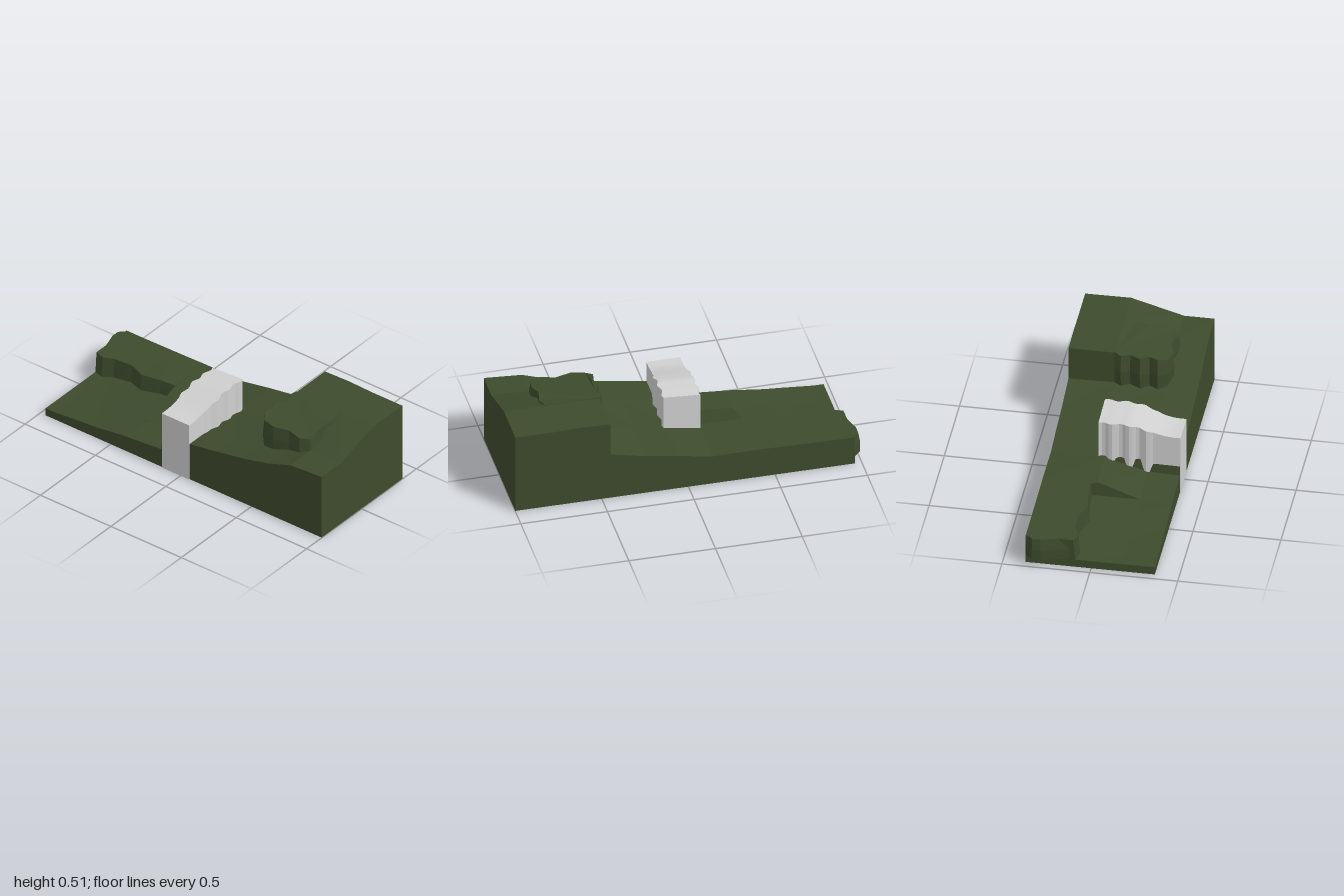
import * as THREE from 'three';

const grass = new THREE.MeshStandardMaterial({ color: 0x3e4b2d });
grass.name = 'dark moss green';
const water = new THREE.MeshStandardMaterial({ color: 0xd0d0d0 });
water.name = 'pale grey';

// Closed faceted block under a grid of top points: rows run along +x, columns along +z
function heightBlock(grid, base) {
  const pos = [];
  const quad = (a, b, c, d) => [a, b, c, a, c, d].forEach((p) => pos.push(...p));
  const low = (p) => [p[0], base, p[2]];
  const wall = (p, q) => quad(p, low(p), low(q), q);
  const n = grid.length - 1, m = grid[0].length - 1;
  for (let i = 0; i < n; i++) {
    for (let j = 0; j < m; j++) {
      const q = [grid[i][j], grid[i][j + 1], grid[i + 1][j + 1], grid[i + 1][j]];
      quad(...q);
      quad(...q.map(low).reverse());
    }
    wall(grid[i][m], grid[i + 1][m]);
    wall(grid[i + 1][0], grid[i][0]);
  }
  for (let j = 0; j < m; j++) {
    wall(grid[0][j], grid[0][j + 1]);
    wall(grid[n][j + 1], grid[n][j]);
  }
  const g = new THREE.BufferGeometry();
  g.setAttribute('position', new THREE.Float32BufferAttribute(pos, 3));
  g.computeVertexNormals();
  return g;
}

// Upright prism from an outline of [x, z] points; shift(x, y, z) returns the moved vertex
function prism(outline, y0, y1, shift) {
  const shape = new THREE.Shape(outline.map(([x, z]) => new THREE.Vector2(x, -z)));
  let g = new THREE.ExtrudeGeometry(shape, { depth: y1 - y0, steps: 2, bevelEnabled: false });
  g.rotateX(-Math.PI / 2).translate(0, y0, 0);
  const p = g.attributes.position;
  for (let i = 0; i < p.count; i++) p.setXYZ(i, ...shift(p.getX(i), p.getY(i), p.getZ(i)));
  if (g.index) g = g.toNonIndexed();
  g.computeVertexNormals();
  return g;
}

export function createModel() {
  const model = new THREE.Group();
  const add = (name, geometry, material) => {
    const mesh = new THREE.Mesh(geometry, material);
    mesh.name = name;
    model.add(mesh);
  };

  // Terrain cross-sections: x, back height, crest z, crest height, foot height, slope z, slope height, front height
  const sections = [
    [-0.96, 0.18, -0.10, 0.18, 0.05, 0.18, 0.05, 0.05],
    [-0.90, 0.18, -0.08, 0.18, 0.055, 0.18, 0.05, 0.05],
    [-0.84, 0.18, -0.11, 0.18, 0.06, 0.18, 0.055, 0.055],
    [-0.72, 0.182, -0.115, 0.183, 0.075, 0.18, 0.065, 0.065],
    [-0.62, 0.183, -0.075, 0.183, 0.085, 0.185, 0.078, 0.072],
    [-0.50, 0.185, -0.095, 0.187, 0.10, 0.185, 0.09, 0.087],
    [-0.40, 0.188, -0.10, 0.188, 0.11, 0.18, 0.10, 0.10],
    [-0.39, 0.188, -0.06, 0.195, 0.19, 0.18, 0.105, 0.10],
    [-0.14, 0.185, -0.06, 0.195, 0.19, 0.18, 0.125, 0.12],
    [-0.13, 0.185, -0.06, 0.20, 0.20, 0.18, 0.20, 0.20],
    [0.06, 0.22, -0.06, 0.23, 0.23, 0.18, 0.24, 0.24],
    [0.25, 0.25, -0.10, 0.26, 0.26, 0.18, 0.27, 0.27],
    [0.45, 0.295, -0.10, 0.30, 0.30, 0.18, 0.305, 0.305],
    [0.451, 0.50, -0.11, 0.50, 0.495, 0.19, 0.305, 0.305],
    [0.62, 0.505, -0.11, 0.505, 0.50, 0.19, 0.345, 0.345],
    [0.78, 0.50, -0.11, 0.502, 0.50, 0.19, 0.405, 0.40],
    [1.00, 0.50, -0.11, 0.502, 0.499, 0.19, 0.415, 0.415],
  ];
  add('terrain', heightBlock(sections.map(([x, back, cz, crest, foot, sz, slope, front]) => [
    [x, back, -0.372], [x, crest, cz], [x, foot, cz + 0.01], [x, slope, sz], [x, front, 0.363],
  ]), 0.002), grass);

  // Overhanging lip at the low end
  const lip = [[-0.94, -0.372], [-0.96, -0.372], [-1, -0.33], [-1, -0.28], [-0.975, -0.2], [-0.955, -0.1], [-0.94, -0.09]];
  add('ledgeLip', prism(lip, 0.05, 0.181, (x, y, z) => [x < -0.95 && y > 0.15 ? x + 0.012 : x, y, z]), grass);

  // Boulder in front of the plateau, bulging at mid height
  const boulder = [
    [0.45, -0.11], [0.43, -0.07], [0.45, -0.02], [0.42, 0.04], [0.45, 0.09], [0.425, 0.14], [0.46, 0.19],
    [0.54, 0.21], [0.63, 0.185], [0.72, 0.21], [0.775, 0.18], [0.79, 0.1], [0.765, 0.04], [0.78, -0.04], [0.765, -0.11],
  ];
  add('boulder', prism(boulder, 0.27, 0.49, (x, y, z) => {
    if (y > 0.45) return [x, z > 0.15 ? 0.477 : z < -0.09 ? 0.506 : 0.495, z];
    return y > 0.33 ? [0.6 + (x - 0.6) * 1.06, 0.39, z + (z > 0.15 ? 0.006 : 0)] : [x, y, z];
  }), grass);

  // Waterfall: crest at the back, falling to the front wall, with rippled sides
  const rows = 25;
  const edge = (t) => {
    const z = -0.1 + 0.466 * t;
    const rough = 1 - THREE.MathUtils.smoothstep(z, 0.17, 0.24);
    const ripple = Math.sin(z * 62) * 0.008 * rough;
    const crest = 1 - THREE.MathUtils.smoothstep(z, 0.04, 0.33);
    return {
      z, left: -0.133 - 0.004 * rough + ripple, right: 0.062 + 0.014 * rough + ripple,
      y: 0.368 + 0.055 * crest, tilt: 0.014 * crest,
    };
  };
  const columns = [0, 0.08, 0.5, 0.92, 1];
  const fall = columns.map((u) => Array.from({ length: rows }, (_, j) => {
    const e = edge(j / (rows - 1));
    return [THREE.MathUtils.lerp(e.left, e.right, u), e.y + e.tilt * u, e.z];
  }));
  add('waterfall', heightBlock(fall, 0), water);

  return model;
}
